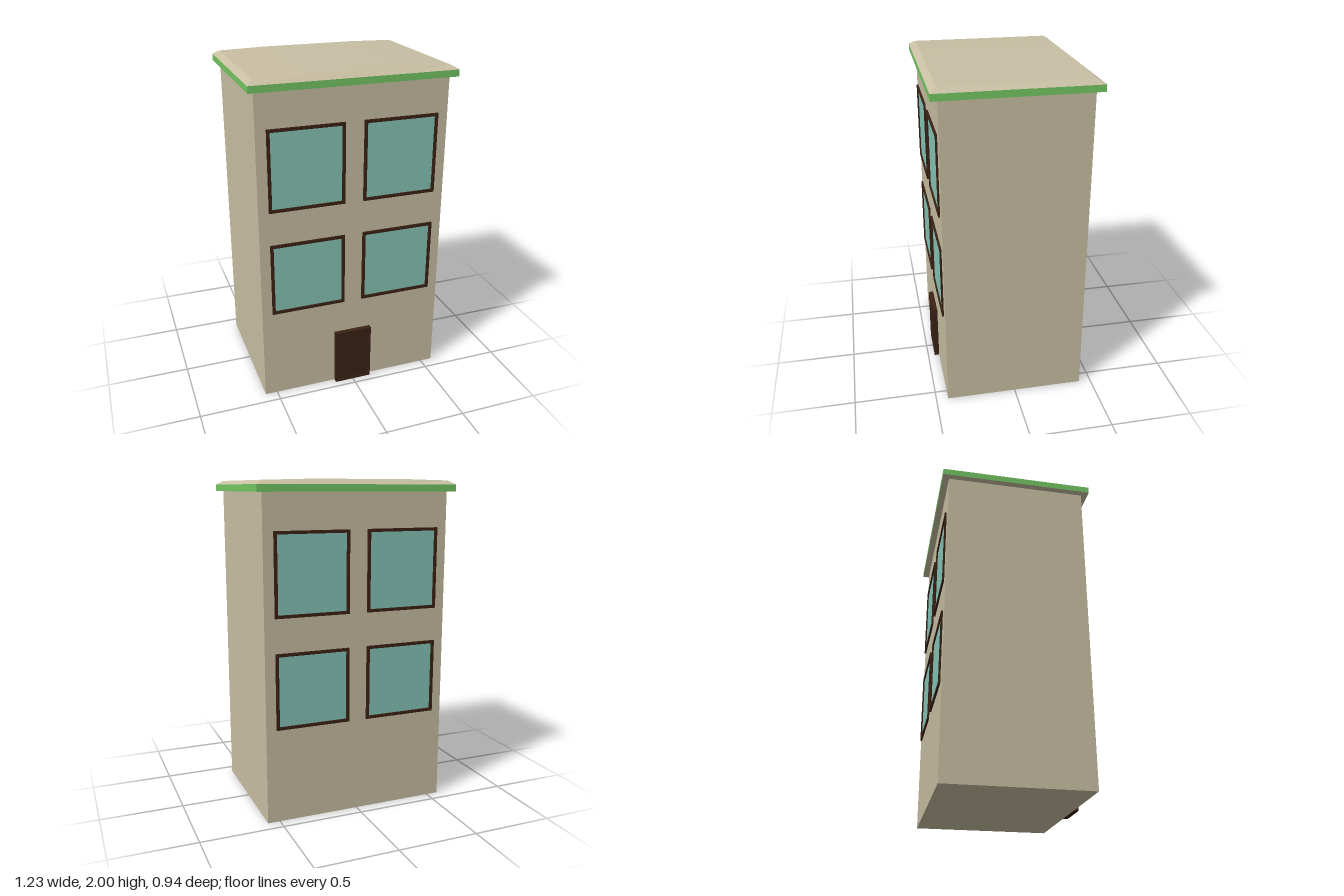
import * as THREE from 'three';

const mat = (color) => new THREE.MeshStandardMaterial({ color, flatShading: true });
const stone = mat(0xc8bfa3);
const green = mat(0x74c763);
const glass = mat(0x86c5b7);
const wood = mat(0x3b2114);

const HALF_DEPTH = 0.427;

function add(parent, name, geometry, material, x = 0, y = 0, z = 0) {
  const mesh = new THREE.Mesh(geometry, material);
  mesh.name = name;
  mesh.position.set(x, y, z);
  parent.add(mesh);
  return mesh;
}

// Rectangular rim with an opening, standing out along +z from z = 0
function rimGeometry(w, h, border, depth) {
  const rect = (Type, a, b) => new Type([
    new THREE.Vector2(-a, -b), new THREE.Vector2(a, -b),
    new THREE.Vector2(a, b), new THREE.Vector2(-a, b),
  ]);
  const shape = rect(THREE.Shape, w / 2, h / 2);
  shape.holes.push(rect(THREE.Path, w / 2 - border, h / 2 - border));
  return new THREE.ExtrudeGeometry(shape, { depth, bevelEnabled: false });
}

// Framed panel: raised rim with a recessed filling
function framedPanel(name, w, h, border, depth, fillDepth, fillName, fillMaterial) {
  const group = new THREE.Group();
  group.name = name;
  add(group, 'frame', rimGeometry(w, h, border, depth), wood);
  const fill = new THREE.BoxGeometry(w - 2 * border, h - 2 * border, fillDepth);
  add(group, fillName, fill, fillMaterial, 0, 0, fillDepth / 2);
  return group;
}

// Four windows of one facade, facing +z
function windowSet(name) {
  const set = new THREE.Group();
  set.name = name;
  const floors = [['lower', 0.8, 0.454], ['upper', 1.475, 0.488]];
  for (const [floor, y, h] of floors) {
    for (const side of [-1, 1]) {
      const win = framedPanel(floor + (side > 0 ? 'LeftWindow' : 'RightWindow'),
        0.456, h, 0.018, 0.011, 0.002, 'pane', glass);
      win.position.set(side * 0.285, y, HALF_DEPTH);
      set.add(win);
    }
  }
  return set;
}

// Shallow hipped roof cap: bottom flared out, top sagging slightly to the sides
function roofGeometry() {
  const geo = new THREE.BoxGeometry(1.15, 0.03, 0.86, 4, 1, 1);
  const p = geo.attributes.position;
  for (let i = 0; i < p.count; i++) {
    const x = p.getX(i);
    if (p.getY(i) < 0) {
      p.setX(i, x * 0.613 / 0.575);
      p.setZ(i, Math.sign(p.getZ(i)) * 0.468);
    } else if (Math.abs(x) > 0.5) {
      p.setY(i, 0.008);
    }
  }
  const flat = geo.toNonIndexed();
  flat.computeVertexNormals();
  return flat;
}

export function createModel() {
  const house = new THREE.Group();
  house.name = 'house';

  // Main block
  add(house, 'walls', new THREE.BoxGeometry(1.15, 1.93, HALF_DEPTH * 2), stone, 0, 0.965, 0);

  // Green band with stone underside, and the roof above it
  add(house, 'cornice', new THREE.BoxGeometry(1.226, 0.04, 0.936),
    [green, green, stone, stone, green, green], 0, 1.95, 0);
  add(house, 'roof', roofGeometry(), stone, 0, 1.985, 0);

  // Windows on both facades
  house.add(windowSet('frontWindows'));
  const back = windowSet('backWindows');
  back.rotation.y = Math.PI;
  house.add(back);

  // Front door
  const door = framedPanel('door', 0.234, 0.362, 0.012, 0.03, 0.024, 'doorPanel', wood);
  door.position.set(0, 0.181, HALF_DEPTH);
  house.add(door);

  return house;
}
